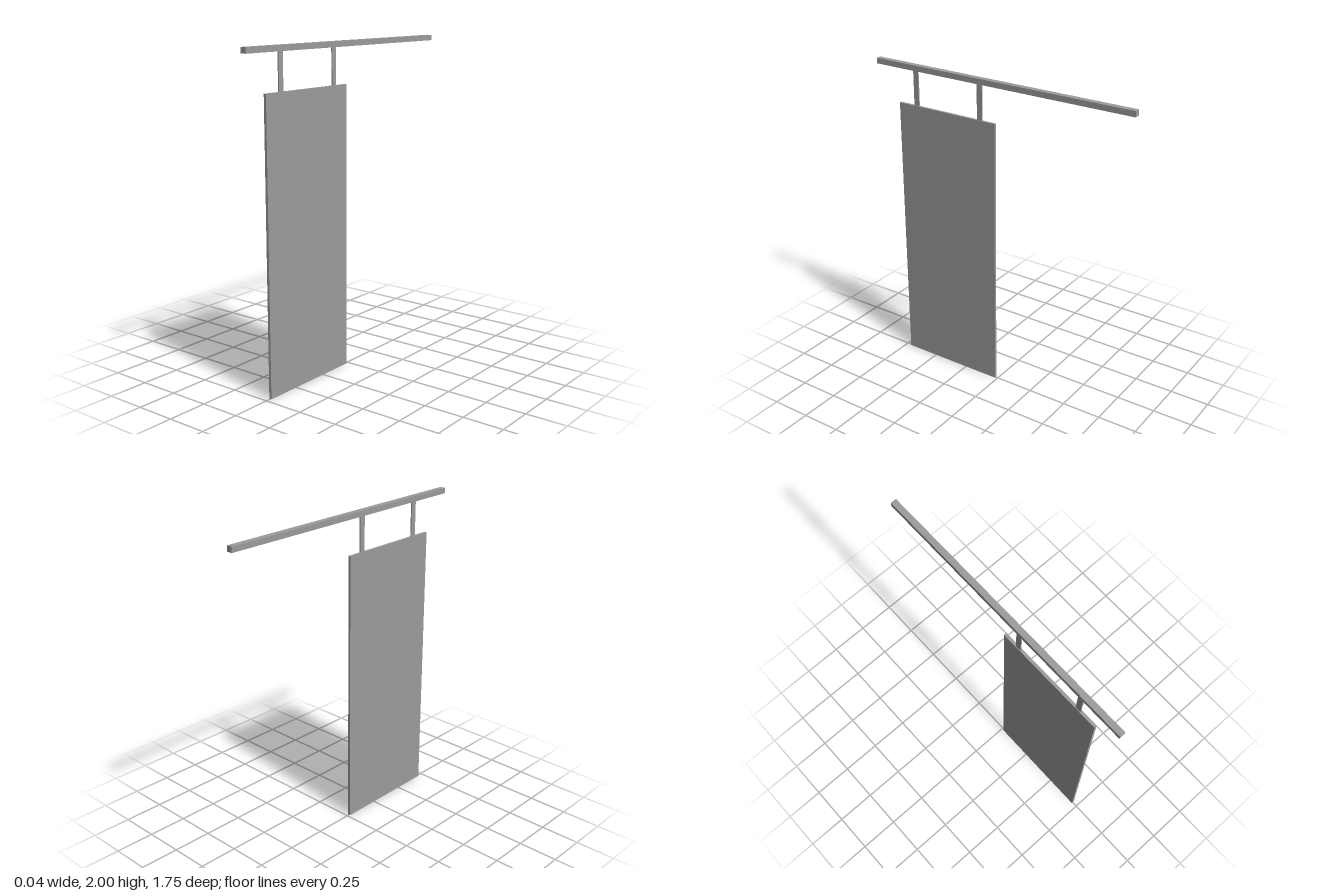
import * as THREE from 'three';

export function createModel() {
  const group = new THREE.Group();
  const material = new THREE.MeshStandardMaterial({ color: 0x9c9c9c, flatShading: true });

  // Box centred on x = 0, given its thickness and its y and z extents
  function slab(name, thickness, y0, y1, z0, z1) {
    const mesh = new THREE.Mesh(new THREE.BoxGeometry(thickness, y1 - y0, z1 - z0), material);
    mesh.position.set(0, (y0 + y1) / 2, (z0 + z1) / 2);
    mesh.name = name;
    group.add(mesh);
  }

  // Horizontal pole along the top
  slab('pole', 0.036, 1.966, 2, -0.874, 0.874);

  // Two thin straps holding the banner
  for (const [name, z] of [['frontStrap', 0.588], ['backStrap', 0.126]]) {
    slab(name, 0.007, 1.746, 1.966, z - 0.018, z + 0.018);
  }

  // Hanging banner panel
  slab('banner', 0.016, 0, 1.746, 0.017, 0.716);

  return group;
}
